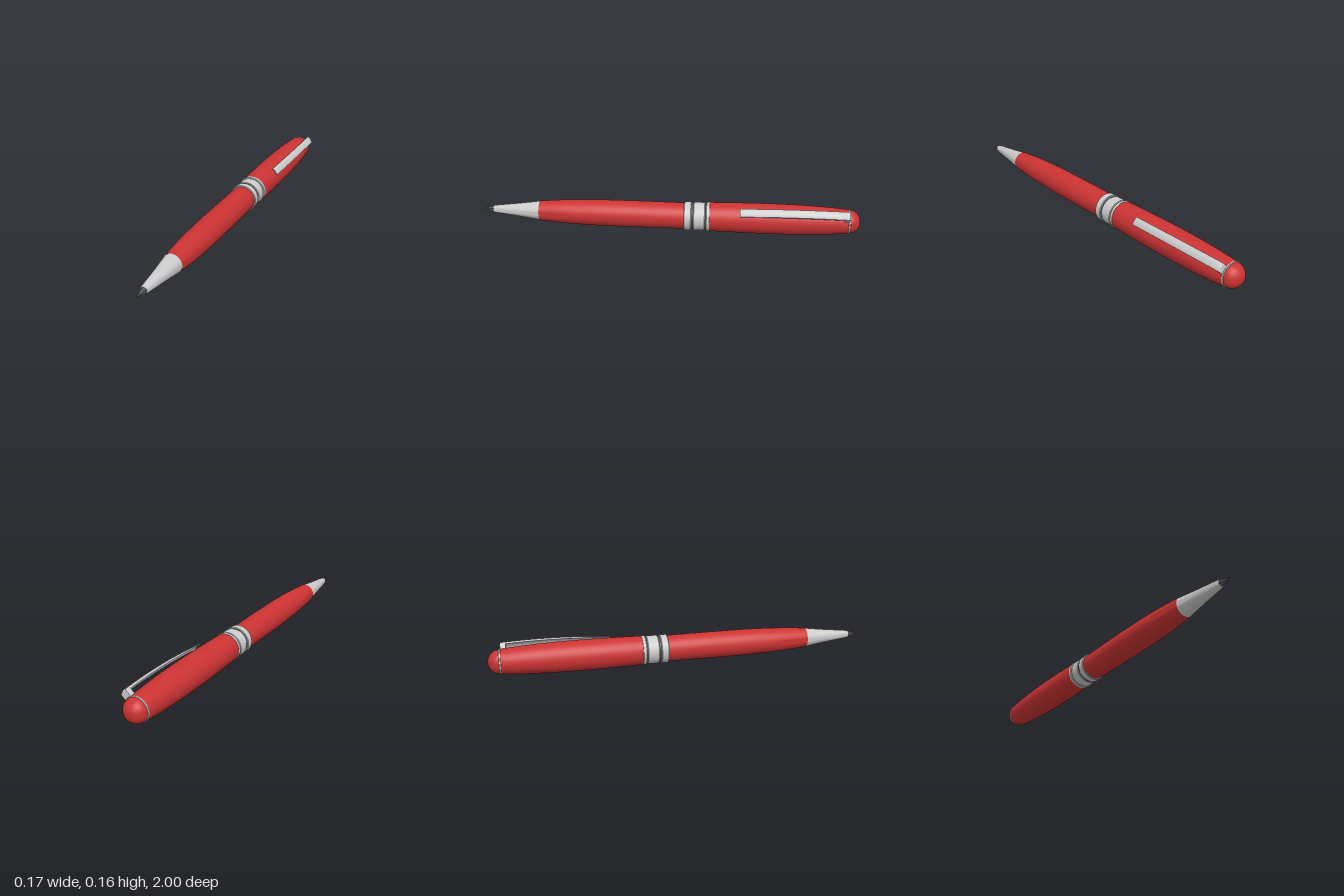
import * as THREE from 'three';
import { toCreasedNormals } from 'three/addons/utils/BufferGeometryUtils.js';

const red = new THREE.MeshStandardMaterial({ color: 0xcc3333 });
const grey = new THREE.MeshStandardMaterial({ color: 0xcccccc });
const dark = new THREE.MeshStandardMaterial({ color: 0x555555 });

// Turned part along z from [radius, z] points, listed back to front
function turned(name, points, material, sides = 40, crease = 0.5) {
  const profile = points.map(([r, z]) => new THREE.Vector2(r, z));
  const geometry = new THREE.LatheGeometry(profile, sides).rotateX(Math.PI / 2);
  const mesh = new THREE.Mesh(toCreasedNormals(geometry, crease), material);
  mesh.name = name;
  return mesh;
}

// Smooth list of [radius, z] points through a few control points
function smooth(points, count = 16) {
  const curve = new THREE.SplineCurve(points.map(([r, z]) => new THREE.Vector2(r, z)));
  return curve.getPoints(count).map((p) => [p.x, p.y]);
}

// Plain ring with closed ends
function ring(name, z0, z1, r, material, bevel = 0.003) {
  return turned(name, [[0, z0], [r - bevel, z0], [r, z0 + bevel], [r, z1 - bevel], [r - bevel, z1], [0, z1]], material);
}

// Arched spring clip: side profile extruded across its width, then crowned
function makeClip() {
  const width = 0.043;
  const shape = new THREE.Shape();
  shape.moveTo(-0.935, 0.055);
  shape.lineTo(-0.935, 0.098);
  shape.quadraticCurveTo(-0.934, 0.104, -0.922, 0.105);
  shape.quadraticCurveTo(-0.65, 0.121, -0.37, 0.092);
  shape.lineTo(-0.37, 0.088);
  shape.quadraticCurveTo(-0.65, 0.108, -0.905, 0.095);
  shape.lineTo(-0.908, 0.055);
  shape.closePath();
  const geometry = new THREE.ExtrudeGeometry(shape, {
    depth: width, steps: 6, bevelEnabled: false, curveSegments: 14,
  });
  geometry.translate(0, 0, -width / 2);
  const pos = geometry.attributes.position;
  for (let i = 0; i < pos.count; i++) {
    const w = pos.getZ(i) / (width / 2);
    pos.setY(i, pos.getY(i) - 0.005 * w * w);
  }
  // x of the profile runs along the pen, y points away from its axis
  const a = 0.71;
  geometry.applyMatrix4(new THREE.Matrix4().makeBasis(
    new THREE.Vector3(0, 0, 1),
    new THREE.Vector3(Math.cos(a), Math.sin(a), 0),
    new THREE.Vector3(-Math.sin(a), Math.cos(a), 0),
  ));
  const mesh = new THREE.Mesh(toCreasedNormals(geometry, 0.5), grey);
  mesh.name = 'clip';
  return mesh;
}

export function createModel() {
  const pen = new THREE.Group();
  pen.name = 'pen';

  // Writing end
  pen.add(turned('writingPoint', [[0.014, 0.93], [0.019, 0.94], [0.001, 1]], dark, 6));
  pen.add(turned('noseCone', [[0, 0.69], [0.051, 0.69], [0.036, 0.8], [0.02, 0.935], [0.018, 0.942], [0, 0.942]], grey));

  // Lower barrel
  pen.add(turned('lowerBarrel', smooth([
    [0.069, -0.085], [0.07, 0.1], [0.07, 0.3], [0.068, 0.42], [0.063, 0.55], [0.052, 0.692],
  ]), red));

  // Centre band: two rings and a sleeve separated by dark grooves
  pen.add(ring('bandCore', -0.212, -0.08, 0.07, dark));
  pen.add(ring('frontRing', -0.117, -0.078, 0.075, grey));
  pen.add(ring('bandSleeve', -0.189, -0.128, 0.074, grey));
  pen.add(ring('rearRing', -0.215, -0.194, 0.077, grey));

  // Upper barrel
  pen.add(turned('upperBarrel', [
    ...smooth([[0.063, -0.935], [0.07, -0.86], [0.077, -0.72], [0.08, -0.55], [0.079, -0.38], [0.076, -0.213]]),
    [0, -0.213],
  ], red));

  // Rear end
  pen.add(ring('rearTrim', -0.943, -0.933, 0.0645, grey, 0.002));
  const dome = [];
  for (let i = 0; i <= 12; i++) {
    const t = (i / 12) * Math.PI / 2;
    dome.push([0.062 * Math.sin(t), -0.941 - 0.059 * Math.cos(t)]);
  }
  pen.add(turned('endDome', dome, red));

  pen.add(makeClip());

  // The pen lies slightly tilted, resting on its thicker half
  const axis = new THREE.Vector3(0.0127, 0.01, 1).normalize();
  pen.quaternion.setFromUnitVectors(new THREE.Vector3(0, 0, 1), axis);
  pen.position.set(-0.002, 0.086, 0);

  const model = new THREE.Group();
  model.name = 'ballpointPen';
  model.add(pen);
  return model;
}
